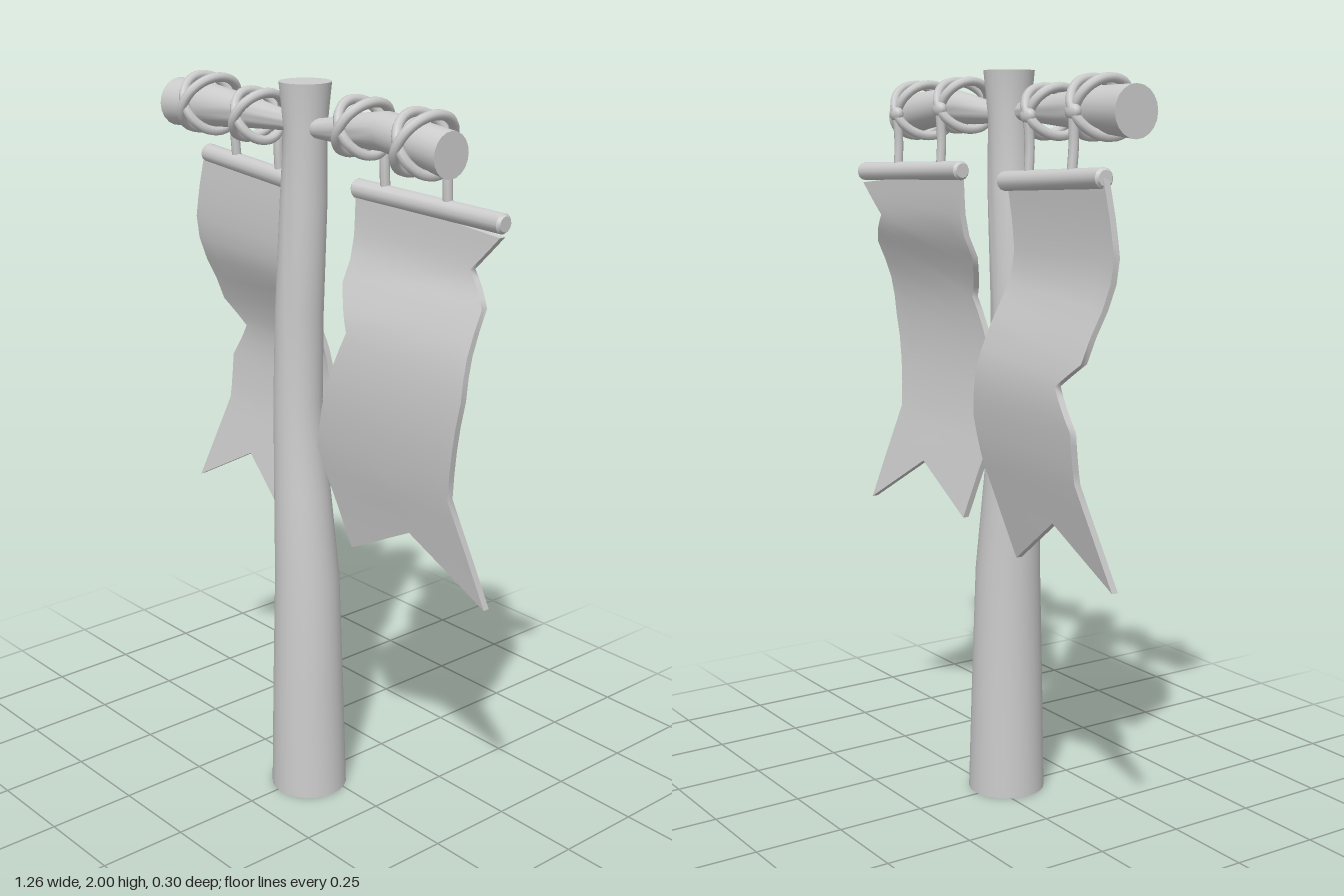
import * as THREE from 'three';
import { mergeGeometries, toCreasedNormals } from 'three/addons/utils/BufferGeometryUtils.js';
import { ParametricGeometry } from 'three/addons/geometries/ParametricGeometry.js';

const material = new THREE.MeshStandardMaterial({ color: 0xcccccc });
const doubleSided = new THREE.MeshStandardMaterial({ color: 0xcccccc, side: THREE.DoubleSide });

function part(name, geometry, mat = material) {
  const mesh = new THREE.Mesh(geometry, mat);
  mesh.name = name;
  return mesh;
}

// Lathed limb whose axis wanders: sections are [height, radius, offsetX, offsetZ]
function limb(sections, sides) {
  const g = new THREE.LatheGeometry(sections.map(([y, r]) => new THREE.Vector2(r, y)), sides);
  const pos = g.attributes.position;
  const n = sections.length;
  for (let i = 0; i < pos.count; i++) {
    const [, , dx, dz] = sections[i % n];
    pos.setX(i, pos.getX(i) + dx);
    pos.setZ(i, pos.getZ(i) + dz);
  }
  return toCreasedNormals(g, 0.8);
}

// Round rod with slightly bevelled ends between two points
function rod(a, b, r) {
  const h = a.distanceTo(b) / 2;
  const profile = [[0, -h], [r * 0.75, -h], [r, 0.008 - h], [r, h - 0.008], [r * 0.75, h], [0, h]];
  const g = new THREE.LatheGeometry(profile.map(p => new THREE.Vector2(...p)), 12);
  const dir = b.clone().sub(a).normalize();
  g.applyQuaternion(new THREE.Quaternion().setFromUnitVectors(new THREE.Vector3(0, 1, 0), dir));
  const mid = a.clone().add(b).multiplyScalar(0.5);
  return toCreasedNormals(g.translate(mid.x, mid.y, mid.z), 0.6);
}

// Piecewise-linear lookup along a list of points
function along(points, t) {
  const s = Math.min(Math.max(t, 0), 1) * (points.length - 1);
  const i = Math.min(Math.floor(s), points.length - 2);
  return points[i].map((c, k) => c + (points[i + 1][k] - c) * (s - i));
}

// Cloth between two ragged side edges, bent in z by billow(y), with a swallowtail hem
function cloth({ left, right, lift, billow, a, b }) {
  const segments = left.length - 1;
  const half = 0.009;
  const bend = new THREE.CatmullRomCurve3(billow.map(([y, z]) => new THREE.Vector3(0, y, z)));
  const samples = bend.getPoints(80);
  const bendAt = y => {
    const i = samples.findIndex(p => p.y <= y);
    if (i < 0) return samples[80].z;
    if (i === 0) return samples[0].z;
    const p = samples[i - 1], q = samples[i];
    return p.z + (q.z - p.z) * (p.y - y) / (p.y - q.y);
  };
  const surface = (u, v, w, out) => {
    const [lx, ly] = along(left, v), [rx, ry] = along(right, v);
    const tail = Math.max(0, v * segments - segments + 1);
    const x = lx + (rx - lx) * u;
    const y = ly + (ry - ly) * u + lift * tail * (1 - Math.abs(2 * u - 1));
    const barZ = a.z + (b.z - a.z) * (x - a.x) / (b.x - a.x);
    out.set(x, y, barZ + bendAt(y) + w * half);
  };
  const rows = segments * 4;
  const sheets = [
    new ParametricGeometry((u, v, o) => surface(1 - u, v, 1, o), 8, rows),
    new ParametricGeometry((u, v, o) => surface(u, v, -1, o), 8, rows),
    new ParametricGeometry((u, v, o) => surface(1, v, 2 * u - 1, o), 1, rows),
    new ParametricGeometry((u, v, o) => surface(0, v, 1 - 2 * u, o), 1, rows),
    new ParametricGeometry((u, v, o) => surface(u, 1, 2 * v - 1, o), 8, 1),
    new ParametricGeometry((u, v, o) => surface(u, 0, 1 - 2 * v, o), 8, 1),
  ];
  sheets.forEach(g => g.computeVertexNormals());
  return mergeGeometries(sheets);
}

// Crossed rope loops around the crossbar, a knot behind and a cord down to the rod
function lashing(x, y, size, rodY, rodZ) {
  const group = new THREE.Group();
  group.name = 'ropeLashing';
  const barZ = 0.042;
  for (const s of [-1, 1]) {
    const pts = [];
    for (let i = 0; i < 12; i++) {
      const t = i / 12 * Math.PI * 2;
      pts.push(new THREE.Vector3(
        x + s * 0.036 * Math.sin(t),
        y + 0.068 * size * Math.sin(t),
        barZ + (0.083 * size + s * 0.004) * Math.cos(t)));
    }
    const loop = new THREE.CatmullRomCurve3(pts, true);
    group.add(part('ropeLoop', new THREE.TubeGeometry(loop, 36, 0.013, 8, true)));
  }
  const knotZ = barZ - 0.083 * size;
  const knot = new THREE.SphereGeometry(0.022, 12, 8);
  knot.scale(1.2, 1, 0.8).translate(x, y - 0.01, knotZ);
  group.add(part('ropeKnot', knot));
  const cord = new THREE.CatmullRomCurve3([
    new THREE.Vector3(x, y - 0.01, knotZ),
    new THREE.Vector3(x, (y + rodY) / 2, (knotZ + rodZ) / 2 + 0.005),
    new THREE.Vector3(x, rodY, rodZ),
  ]);
  group.add(part('hangingCord', new THREE.TubeGeometry(cord, 8, 0.013, 8)));
  return group;
}

export function createModel() {
  const model = new THREE.Group();
  model.name = 'bannerPost';

  // Crooked post, open underneath
  model.add(part('post', limb([
    [0, 0.107, 0.013, 0.047], [0.3, 0.1, 0.01, 0.047], [0.65, 0.09, 0.005, 0.046],
    [0.9, 0.078, -0.016, 0.045], [1.15, 0.067, -0.033, 0.045], [1.4, 0.065, -0.025, 0.046],
    [1.7, 0.062, -0.008, 0.044], [1.88, 0.056, -0.002, 0.043], [2, 0.068, -0.003, 0.042],
    [2, 0, -0.003, 0.042],
  ], 24), doubleSided));

  // Gnarled crossbar, pinched where it meets the post
  const crossbar = limb([
    [-0.54, 0, 0, 0.044], [-0.54, 0.066, 0, 0.044], [-0.4, 0.058, -0.005, 0.044],
    [-0.25, 0.044, -0.005, 0.044], [-0.07, 0.026, -0.002, 0.05], [0.06, 0.026, 0.005, 0.045],
    [0.2, 0.042, -0.008, 0.042], [0.3, 0.049, -0.017, 0.042], [0.42, 0.053, -0.003, 0.04],
    [0.52, 0.057, 0.013, 0.038], [0.52, 0, 0.013, 0.038],
  ], 20).rotateZ(-Math.PI / 2).translate(0, 1.893, 0);
  model.add(part('crossbar', crossbar));

  const banners = [
    {
      name: 'rightBanner',
      a: new THREE.Vector3(-0.56, 1.738, -0.062), b: new THREE.Vector3(-0.07, 1.715, -0.02),
      left: [[-0.56, 1.738], [-0.595, 1.55], [-0.565, 1.3], [-0.47, 1.235], [-0.545, 1.13], [-0.54, 1.0], [-0.63, 0.74]],
      right: [[-0.095, 1.715], [-0.12, 1.54], [-0.098, 1.37], [-0.075, 1.25], [-0.05, 1.1], [-0.07, 0.97], [-0.155, 0.72]],
      lift: 0.14,
      billow: [[1.76, 0], [1.6, 0.012], [1.47, 0.005], [1.35, -0.045], [1.22, -0.08], [1.05, -0.07], [0.88, -0.035], [0.7, 0.005]],
      cords: [[-0.405, 1.903, 1.05], [-0.197, 1.893, 0.9]],
    },
    {
      name: 'leftBanner',
      a: new THREE.Vector3(0.11, 1.737, -0.032), b: new THREE.Vector3(0.62, 1.722, -0.048),
      left: [[0.12, 1.737], [0.125, 1.5], [0.185, 1.385], [0.12, 1.22], [0.075, 1.05], [0.15, 0.765]],
      right: [[0.615, 1.69], [0.53, 1.6], [0.6, 1.52], [0.6, 1.3], [0.55, 1.03], [0.63, 0.74]],
      lift: 0.135,
      billow: [[1.76, 0], [1.58, 0.015], [1.5, 0.05], [1.4, 0.088], [1.24, 0.105], [1.05, 0.09], [0.9, 0.06], [0.72, 0.025]],
      cords: [[0.217, 1.91, 0.95], [0.433, 1.897, 1.05]],
    },
  ];

  // Each banner: rod, cloth and two lashings
  for (const banner of banners) {
    const { a, b } = banner;
    const group = new THREE.Group();
    group.name = banner.name;
    group.add(part('bannerRod', rod(a, b, 0.026)));
    group.add(part('bannerCloth', cloth(banner)));
    for (const [x, y, size] of banner.cords) {
      const p = a.clone().lerp(b, (x - a.x) / (b.x - a.x));
      group.add(lashing(x, y, size, p.y, p.z));
    }
    model.add(group);
  }
  return model;
}
